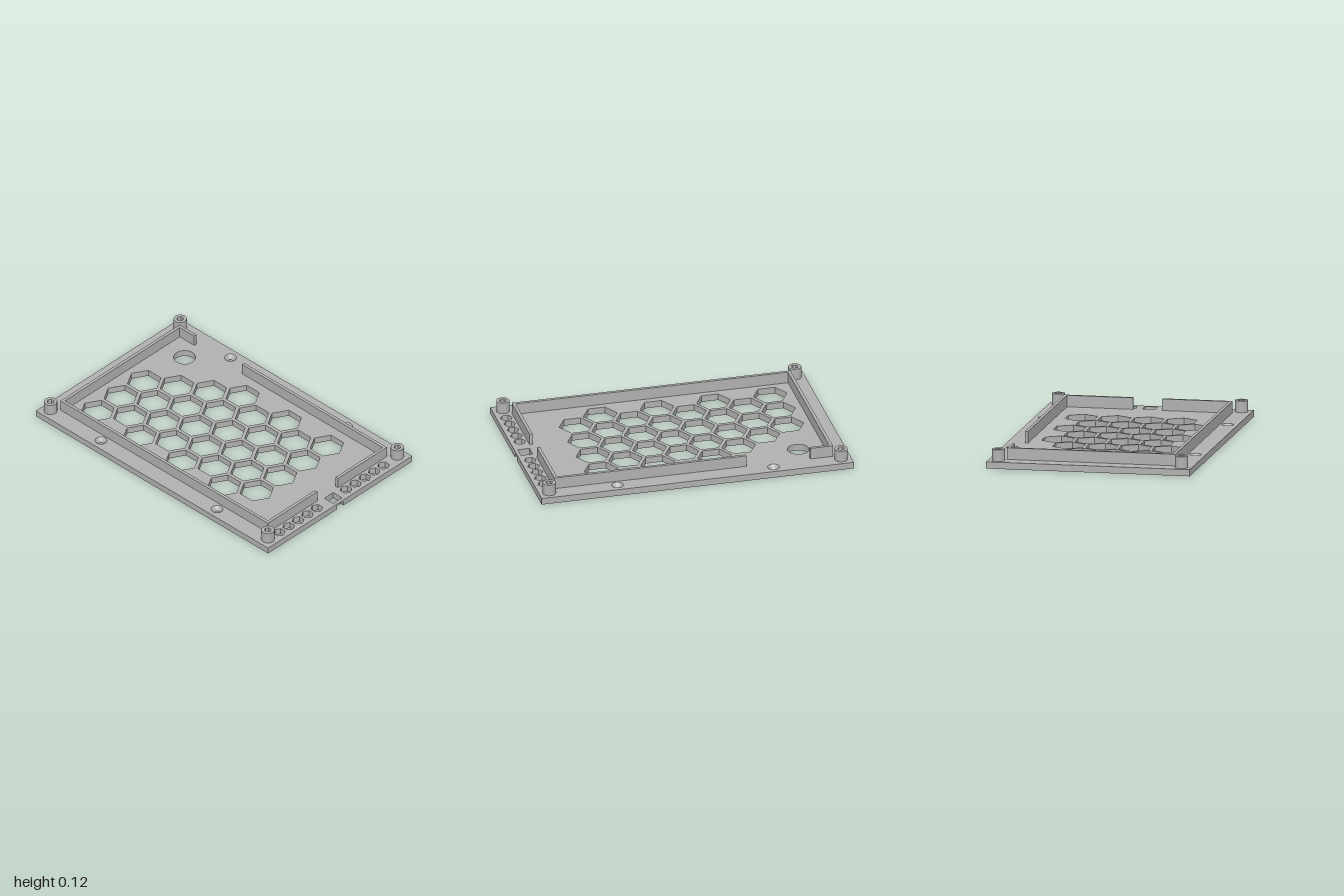
import * as THREE from 'three';
import { toCreasedNormals } from 'three/addons/utils/BufferGeometryUtils.js';

const PLATE_T = 0.042, TOP = 0.115;
const HALF_Z = 0.645;

// Closed outline from plan points [x, z]
function outline(points, Type = THREE.Shape) {
  return new Type(points.map(([x, z]) => new THREE.Vector2(x, -z)));
}

function hexagon(x, z, r) {
  const pts = [];
  for (let i = 0; i < 6; i++) {
    const a = i * Math.PI / 3;
    pts.push([x + r * Math.cos(a), z + r * Math.sin(a)]);
  }
  return outline(pts, THREE.Path);
}

function circle(x, z, r, Type = THREE.Path) {
  const c = new Type();
  c.absarc(x, -z, r, 0, Math.PI * 2, false);
  return c;
}

// Plan shape raised from y0 to y1
function raise(shape, y0, y1) {
  const g = new THREE.ExtrudeGeometry(shape, { depth: y1 - y0, bevelEnabled: false, curveSegments: 16 });
  g.rotateX(-Math.PI / 2);
  g.translate(0, y0, 0);
  return toCreasedNormals(g, 0.5);
}

export function createModel() {
  const group = new THREE.Group();
  const grey = new THREE.MeshStandardMaterial({ color: 0xb0b0b0 });
  grey.name = 'grey plastic';
  const add = (name, geometry, x = 0, y = 0, z = 0) => {
    const m = new THREE.Mesh(geometry, grey);
    m.name = name;
    m.position.set(x, y, z);
    group.add(m);
  };

  // Base plate, with the cable slot cut into its right edge
  const slotX = 0.977, slotZ = 0.029, sq = 0.04;
  const plate = outline([
    [-1, HALF_Z], [1, HALF_Z], [1, slotZ], [slotX, slotZ], [slotX, sq], [0.902, sq],
    [0.902, -sq], [slotX, -sq], [slotX, -slotZ], [1, -slotZ], [1, -HALF_Z], [-1, -HALF_Z],
  ]);

  // Honeycomb vents: [first row centre in half steps, number of cells] for each column
  const columns = [[2, 3], [1, 3], [0, 4], [-1, 4], [0, 4], [-1, 4], [0, 4], [-1, 4]];
  const stepX = 0.1816, stepZ = 0.2095;
  columns.forEach(([start, count], c) => {
    for (let i = 0; i < count; i++) {
      plate.holes.push(hexagon((c - 4) * stepX, -0.25 + (start / 2 + i) * stepZ, 0.108));
    }
  });

  // Small side vents
  for (let i = 0; i < 5; i++) {
    plate.holes.push(hexagon(0.938, -0.453 + i * 0.084, 0.038));
    plate.holes.push(hexagon(0.938, 0.145 + i * 0.084, 0.038));
  }

  // Round opening
  plate.holes.push(circle(-0.71, -0.385, 0.068));

  // Countersunk screw holes
  const sinkR = 0.037, screwR = 0.016;
  const sink = toCreasedNormals(new THREE.LatheGeometry([
    new THREE.Vector2(sinkR, PLATE_T), new THREE.Vector2(screwR, 0.015),
    new THREE.Vector2(screwR, 0), new THREE.Vector2(sinkR, 0),
  ], 32), 0.5);
  for (const x of [-0.502, 0.498]) {
    for (const z of [-0.58, 0.58]) {
      plate.holes.push(circle(x, z, sinkR));
      add('countersink', sink, x, 0, z);
    }
  }
  add('basePlate', raise(plate, 0, PLATE_T));

  // Bridge above the cable slot
  add('slotBridge', new THREE.BoxGeometry(1 - slotX, PLATE_T - 0.028, slotZ * 2),
    (1 + slotX) / 2, (PLATE_T + 0.028) / 2, 0);

  // Corner posts with hexagonal sockets
  const post = circle(0, 0, 0.041, THREE.Shape);
  post.holes.push(hexagon(0, 0, 0.022));
  const postGeometry = raise(post, PLATE_T, TOP);
  for (const x of [-0.935, 0.935]) {
    for (const z of [-0.58, 0.58]) add('cornerPost', postGeometry, x, 0, z);
  }

  // Thin inner rim, in two pieces with gaps at the back and right
  const L = -0.895, R = 0.89, Z = 0.533, t = 0.02;
  add('mainRim', raise(outline([
    [-0.75, -Z], [L, -Z], [L, Z], [R, Z], [R, 0.09], [R - t, 0.09],
    [R - t, Z - t], [L + t, Z - t], [L + t, -Z + t], [-0.75, -Z + t],
  ]), PLATE_T, TOP));
  add('backRim', raise(outline([
    [-0.34, -Z], [R, -Z], [R, -0.095], [R - t, -0.095], [R - t, -Z + t], [-0.34, -Z + t],
  ]), PLATE_T, TOP));

  return group;
}
